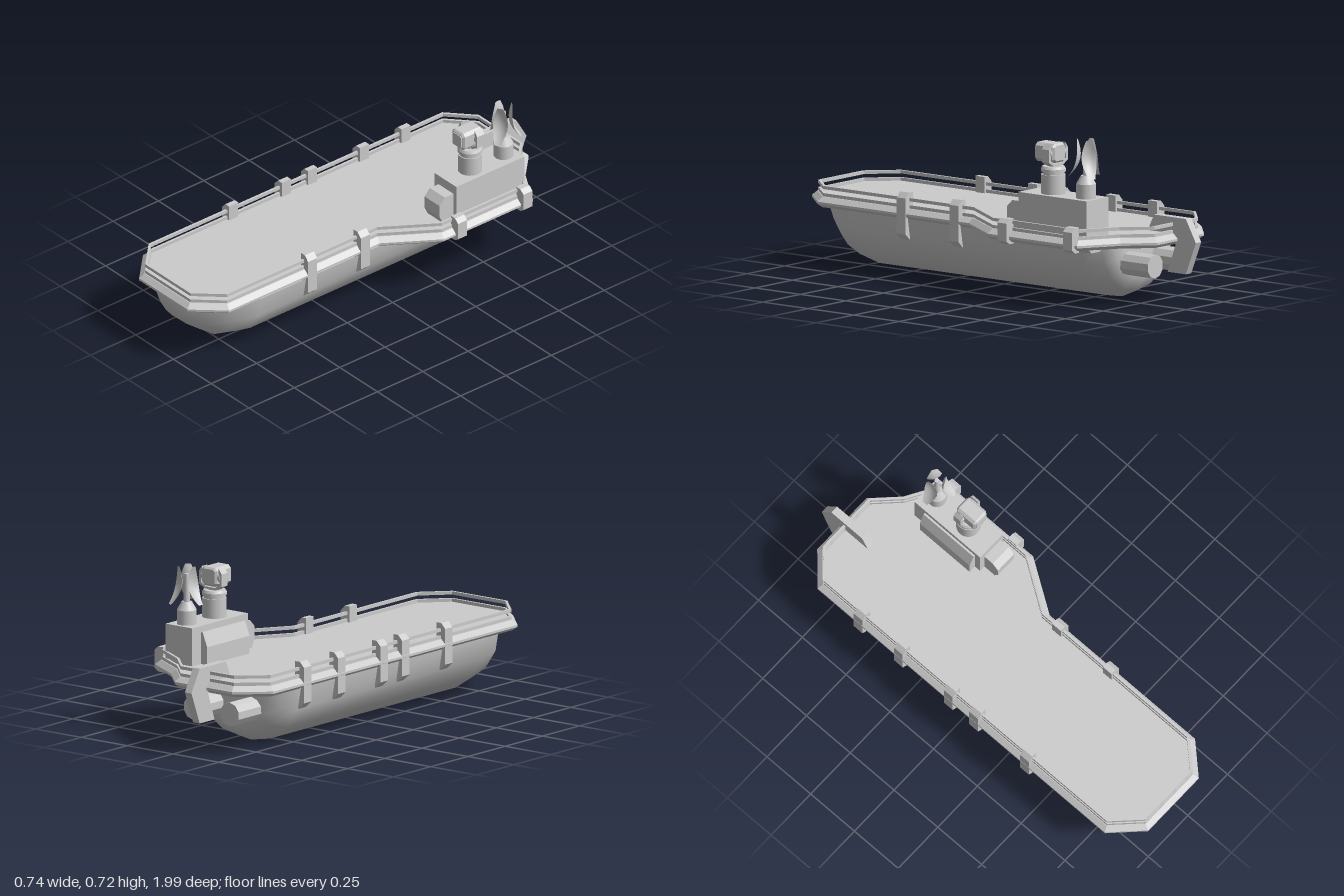
import * as THREE from 'three';
import { mergeVertices } from 'three/addons/utils/BufferGeometryUtils.js';

const mat = new THREE.MeshStandardMaterial({ color: 0xcccccc });
const flat = new THREE.MeshStandardMaterial({ color: 0xcccccc, flatShading: true });
const thin = new THREE.MeshStandardMaterial({ color: 0xcccccc, side: THREE.DoubleSide });

// Deck plan as [x, z]
const PLAN = [[-0.24, -0.9], [0.07, -0.9], [0.18, -0.79], [0.35, -0.69], [0.35, -0.2], [0.2, 0.03],
  [0.2, 0.86], [0.08, 0.99], [-0.24, 0.99], [-0.37, 0.86], [-0.37, -0.78]];
const MID = -0.083; // hull centreline

function inset(pts, d) {
  const n = pts.length;
  const normal = (a, b) => {
    const l = Math.hypot(b[0] - a[0], b[1] - a[1]);
    return [-(b[1] - a[1]) / l, (b[0] - a[0]) / l];
  };
  return pts.map((p, i) => {
    const a = normal(pts[(i + n - 1) % n], p), b = normal(p, pts[(i + 1) % n]);
    const k = d / (1 + a[0] * b[0] + a[1] * b[1]);
    return [p[0] + (a[0] + b[0]) * k, p[1] + (a[1] + b[1]) * k];
  });
}

// Faceted band round the deck plan; profile is [inset, y] from bottom to top on the outside
function planBand(profile) {
  const rings = profile.map(([d, y]) => inset(PLAN, d).map(([x, z]) => [x, y, z]));
  const pos = [];
  for (let k = 0; k < rings.length - 1; k++) {
    PLAN.forEach((_, i) => {
      const j = (i + 1) % PLAN.length;
      const a = rings[k][i], b = rings[k][j], c = rings[k + 1][j], e = rings[k + 1][i];
      pos.push(...a, ...c, ...b, ...a, ...e, ...c);
    });
  }
  const g = new THREE.BufferGeometry();
  g.setAttribute('position', new THREE.Float32BufferAttribute(pos, 3));
  g.computeVertexNormals();
  return g;
}

const toShape = pts => new THREE.Shape(pts.map(p => new THREE.Vector2(p[0], p[1])));

// Plate with an [x, y] outline, centred on z = 0
function plate(pts, depth, bevel = 0) {
  const g = new THREE.ExtrudeGeometry(toShape(pts), {
    depth: depth - 2 * bevel, bevelEnabled: bevel > 0, bevelSize: bevel,
    bevelThickness: bevel, bevelOffset: -bevel, bevelSegments: 1 });
  return g.translate(0, 0, -depth / 2 + bevel);
}

// Plate with a [z, y] outline, centred on x = 0
const sidePlate = (pts, width) => plate(pts, width).rotateY(-Math.PI / 2);

// Rounded boat bottom lofted from scaled half-round sections
function hullGeometry() {
  const half = [[0.27, 0], [0.253, 0.095], [0.193, 0.185], [0.103, 0.243]];
  const section = [...half.map(([x, y]) => [-x, y]), [0, 0.262], ...half.slice().reverse()];
  const stations = [[-0.7, 0], [-0.7, 0.5], [-0.694, 0.68], [-0.66, 0.87], [-0.58, 1], [0.67, 1],
    [0.785, 0.9], [0.86, 0.69], [0.94, 0.4], [0.97, 0.12], [0.975, 0]];
  const pos = [], idx = [], n = section.length;
  stations.forEach(([z, s], k) => section.forEach(([x, d], i) => {
    pos.push(MID + x * s, 0.265 - d * s, z);
    if (k < stations.length - 1 && i < n - 1) {
      const a = k * n + i;
      idx.push(a, a + 1, a + n, a + 1, a + n + 1, a + n);
    }
  }));
  const g = new THREE.BufferGeometry();
  g.setAttribute('position', new THREE.Float32BufferAttribute(pos, 3));
  g.setIndex(idx);
  const welded = mergeVertices(g);
  welded.computeVertexNormals();
  return welded;
}

// Oval radar panel, concave outwards, facing +x
function panelGeometry() {
  const g = new THREE.PlaneGeometry(2, 1, 6, 10), p = g.attributes.position;
  for (let i = 0; i < p.count; i++) {
    const u = p.getX(i), v = p.getY(i) + 0.5;
    const w = 0.013 + 0.021 * Math.sin(Math.PI * v);
    const r = 0.023 + (v < 0.6 ? 0.15 * (0.6 - v) ** 2 : 0.09 * (v - 0.6) ** 2) + 0.012 * u * u * Math.sin(Math.PI * v);
    p.setXYZ(i, r, 0.563 + v * 0.162, -u * w);
  }
  g.computeVertexNormals();
  return g;
}

export function createModel() {
  const model = new THREE.Group();
  const add = (name, geo, x = 0, y = 0, z = 0, material = mat) => {
    const m = new THREE.Mesh(geo, material);
    m.name = name;
    m.position.set(x, y, z);
    model.add(m);
    return m;
  };
  const drum = (name, r0, r1, y0, y1, x, z) =>
    add(name, new THREE.CylinderGeometry(r1, r0, y1 - y0, 24), x, (y0 + y1) / 2, z);

  // Hull and deck
  add('hull', hullGeometry(), 0, 0, 0, thin);
  add('deckRim', planBand([[0.02, 0.263], [0, 0.278], [0, 0.288], [0.022, 0.308]]));
  add('deckTop', new THREE.ShapeGeometry(toShape(inset(PLAN, 0.022).map(([x, z]) => [x, -z]))).rotateX(-Math.PI / 2), 0, 0.308);
  add('deckUnderside', new THREE.ShapeGeometry(toShape(inset(PLAN, 0.02))).rotateX(Math.PI / 2), 0, 0.263);

  // Two rails round the deck
  for (const y of [0.309, 0.34]) {
    add('rail', planBand([[0.025, y], [0.025, y + 0.014], [0.036, y + 0.014], [0.036, y], [0.025, y]]));
  }

  // Fender clips, [distance inward, y]
  const longClip = [[0.022, 0.378], [0.047, 0.378], [0.047, 0.29], [0.03, 0.172], [0, 0.2], [0, 0.355]];
  const shortClip = [[0.02, 0.363], [0.047, 0.363], [0.047, 0.254], [0.02, 0.254], [0, 0.268], [0, 0.345]];
  const clip = (pts, edge, side, z) =>
    add('fenderClip', plate(pts.map(([d, y]) => [edge - side * d, y]), 0.05), 0, 0, z);
  for (const z of [-0.55, -0.32, -0.035, 0.11, 0.4]) clip(longClip, -0.369, -1, z);
  for (const z of [0.11, 0.4]) clip(longClip, 0.201, 1, z);
  for (const z of [-0.65, -0.29]) clip(shortClip, 0.365, 1, z);

  // Stern rudder and engines
  add('rudder', sidePlate([[-0.735, 0.305], [-0.77, 0.378], [-0.945, 0.378], [-1, 0.28],
    [-0.945, 0.14], [-0.845, 0.14], [-0.89, 0.265]], 0.036), MID);
  for (const s of [-1, 1]) {
    add('engine', new THREE.CylinderGeometry(0.052, 0.052, 0.2, 10).rotateX(Math.PI / 2), MID + s * 0.1, 0.173, -0.745, flat);
  }

  // Control house with its side and front lockers
  add('house', plate([[0.145, 0.29], [0.2, 0.245], [0.258, 0.245], [0.275, 0.262],
    [0.29, 0.29], [0.29, 0.473], [0.145, 0.473]], 0.375), 0, 0, -0.505);
  add('sideLocker', plate([[0.112, 0.305], [0.15, 0.305], [0.15, 0.446], [0.136, 0.446], [0.112, 0.385]], 0.285), 0, 0, -0.49);
  add('frontLocker', sidePlate([[-0.33, 0.305], [-0.26, 0.305], [-0.24, 0.345], [-0.24, 0.4],
    [-0.27, 0.43], [-0.33, 0.43]], 0.1), 0.222);

  // Camera turret
  const tx = 0.219, tz = -0.452;
  drum('turretDrum', 0.052, 0.052, 0.47, 0.556, tx, tz);
  drum('turretNeck', 0.047, 0.047, 0.556, 0.568, tx, tz);
  drum('turretCollar', 0.053, 0.053, 0.568, 0.58, tx, tz);
  drum('turretCap', 0.053, 0.047, 0.58, 0.591, tx, tz);
  drum('turretPost', 0.025, 0.025, 0.59, 0.602, tx, tz);
  const right = [[0.03, 0.594], [0.062, 0.613], [0.062, 0.668], [0.046, 0.69],
    [0.046, 0.668], [0.05, 0.66], [0.05, 0.62], [0.026, 0.604]];
  const left = right.map(([x, y]) => [-x, y]).reverse();
  add('cameraYoke', plate([...right, ...left], 0.04), tx, 0, -0.46);
  const octagon = (h, c) => [[-h, c - h], [c - h, -h], [h - c, -h], [h, c - h], [h, h - c], [h - c, h], [c - h, h], [-h, h - c]];
  add('cameraHead', plate(octagon(0.041, 0.013), 0.108, 0.008), tx + 0.002, 0.65, -0.435);
  add('cameraWindow', plate(octagon(0.029, 0.006), 0.006), tx + 0.002, 0.65, -0.38);
  add('cameraPivot', new THREE.CylinderGeometry(0.022, 0.022, 0.104, 16).rotateZ(Math.PI / 2), tx, 0.65, -0.46);

  // Radar mast with three curved panels
  const rx = 0.222, rz = -0.634;
  drum('mastBase', 0.042, 0.042, 0.47, 0.535, rx, rz);
  drum('mastShoulder', 0.042, 0.022, 0.535, 0.57, rx, rz);
  drum('mastPole', 0.014, 0.01, 0.57, 0.69, rx, rz);
  for (let i = 0; i < 3; i++) {
    add('radarPanel', panelGeometry(), rx, 0, rz, thin).rotation.y = Math.PI + i * Math.PI * 2 / 3;
  }
  return model;
}
